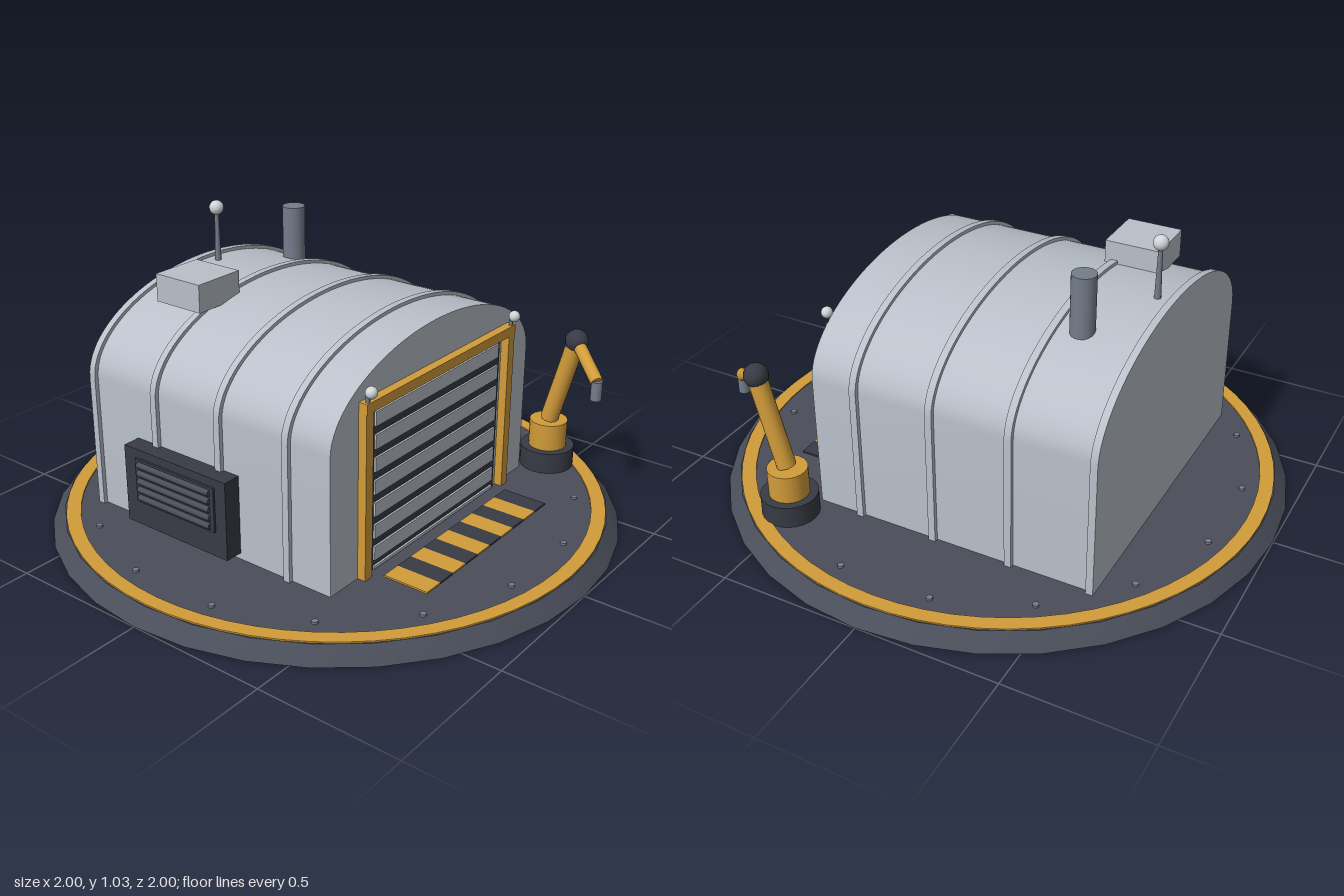
import * as THREE from 'three';
import { toCreasedNormals } from 'three/addons/utils/BufferGeometryUtils.js';

const material = (name, color) => {
  const m = new THREE.MeshStandardMaterial({ color });
  m.name = name;
  return m;
};

export function createModel() {
  const model = new THREE.Group();
  model.name = 'hangar';
  const panel = material('light panel grey', 0xb9c0c9);
  const deck = material('deck grey', 0x4a4e5a);
  const dark = material('dark machine grey', 0x383b45);
  const yellow = material('safety yellow', 0xd29c3a);
  const steel = material('steel grey', 0x757d8b);
  const lamp = material('lamp white', 0xd2d5da);

  const add = (name, geometry, mat, x = 0, y = 0, z = 0, parent = model) => {
    const mesh = new THREE.Mesh(geometry, mat);
    mesh.name = name;
    mesh.position.set(x, y, z);
    parent.add(mesh);
    return mesh;
  };
  // Box given by its lower and upper corners
  const box = (name, mat, [x0, y0, z0], [x1, y1, z1]) =>
    add(name, new THREE.BoxGeometry(x1 - x0, y1 - y0, z1 - z0), mat,
      (x0 + x1) / 2, (y0 + y1) / 2, (z0 + z1) / 2);
  // Upright cylinder between two heights
  const column = (name, mat, x, z, y0, y1, r0, r1 = r0, sides = 20) =>
    add(name, new THREE.CylinderGeometry(r1, r0, y1 - y0, sides), mat, x, (y0 + y1) / 2, z);
  const ball = (name, mat, x, y, z, r) =>
    add(name, new THREE.SphereGeometry(r, 16, 12), mat, x, y, z);
  // Cylinder between two points
  const limb = (name, mat, a, b, r) => {
    const from = new THREE.Vector3(...a), to = new THREE.Vector3(...b);
    const dir = to.clone().sub(from);
    const mesh = add(name, new THREE.CylinderGeometry(r, r, dir.length(), 16), mat);
    mesh.position.copy(from).add(to).multiplyScalar(0.5);
    mesh.quaternion.setFromUnitVectors(new THREE.Vector3(0, 1, 0), dir.normalize());
  };
  // Straight walls under a half-elliptical roof, extruded along z
  const vault = (name, halfWidth, top, z0, z1) => {
    const spring = 0.53;
    const shape = new THREE.Shape();
    shape.moveTo(-halfWidth, 0.05);
    shape.lineTo(halfWidth, 0.05);
    shape.lineTo(halfWidth, spring);
    shape.absellipse(0, spring, halfWidth, top - spring, 0, Math.PI, false);
    shape.lineTo(-halfWidth, 0.05);
    const geometry = new THREE.ExtrudeGeometry(shape,
      { depth: z1 - z0, bevelEnabled: false, curveSegments: 24 });
    add(name, toCreasedNormals(geometry, 0.6), panel, 0, 0, z0);
  };

  // Landing pad with painted ring and bolts
  const pad = new THREE.CylinderGeometry(0.955, 1, 0.052, 32);
  add('pad', toCreasedNormals(pad, 0.4), deck, 0, 0.026, 0);
  const ring = new THREE.Shape().absarc(0, 0, 0.95, 0, Math.PI * 2);
  ring.holes.push(new THREE.Path().absarc(0, 0, 0.9, 0, Math.PI * 2, true));
  add('padRing', new THREE.ExtrudeGeometry(ring, { depth: 0.007, bevelEnabled: false, curveSegments: 32 }),
    yellow, 0, 0.05, 0).rotation.x = -Math.PI / 2;
  for (let i = 0; i < 16; i++) {
    const a = (i + 0.5) * Math.PI / 8;
    column('padBolt', steel, 0.845 * Math.cos(a), 0.845 * Math.sin(a), 0.05, 0.06, 0.011, 0.011, 8);
  }

  // Alternating threshold stripes
  for (let i = 0; i < 10; i++) {
    const x = -0.365 + i * 0.073;
    box('thresholdStripe', i % 2 ? dark : yellow, [x, 0.05, 0.48], [x + 0.073, 0.058, 0.645]);
  }

  // Vaulted building and ribs
  vault('hangarShell', 0.565, 0.81, -0.595, 0.42);
  for (const z of [-0.592, -0.305, -0.025, 0.255]) {
    vault('shellRib', 0.58, 0.822, z - 0.0125, z + 0.0125);
  }

  // Slatted door and its frame
  box('doorBacking', dark, [-0.37, 0.052, 0.41], [0.37, 0.63, 0.426]);
  for (let i = 0; i < 7; i++) {
    const y = 0.087 + i * 0.079;
    box('doorSlat', panel, [-0.353, y, 0.42], [0.353, y + 0.05, 0.433]);
  }
  box('doorBottomSlat', panel, [-0.353, 0.055, 0.42], [0.353, 0.066, 0.433]);
  for (const s of [-1, 1]) {
    const x = s * 0.408;
    box('doorPost', yellow, [x - 0.018, 0.05, 0.415], [x + 0.018, 0.665, 0.45]);
    ball('doorLamp', lamp, s * 0.41, 0.7, 0.455, 0.02);
    column('doorLampStem', steel, s * 0.41, 0.442, 0.66, 0.695, 0.007, 0.007, 8);
  }
  box('doorLintel', yellow, [-0.426, 0.63, 0.415], [0.426, 0.665, 0.452]);

  // Louvred unit on the right wall
  box('ventHousing', dark, [-0.63, 0.075, -0.4], [-0.56, 0.355, 0.05]);
  box('ventPanel', dark, [-0.638, 0.165, -0.345], [-0.625, 0.325, 0.005]);
  for (let i = 0; i < 5; i++) {
    const y = 0.185 + i * 0.03;
    limb('ventLouvre', deck, [-0.639, y, -0.33], [-0.639, y, -0.01], 0.011);
  }

  // Roof equipment
  box('roofUnit', panel, [-0.38, 0.775, -0.465], [-0.185, 0.873, -0.27]);
  column('chimney', steel, 0.255, -0.395, 0.77, 0.978, 0.041);
  column('antennaMast', steel, 0, -0.537, 0.8, 1, 0.012, 0.007, 10);
  ball('antennaTip', lamp, 0, 1.003, -0.537, 0.026);

  // Jointed loading arm
  const elbow = [0.66, 0.56, 0.57], wrist = [0.56, 0.47, 0.71];
  column('armBase', dark, 0.66, 0.48, 0.05, 0.13, 0.098, 0.098, 24);
  column('armTurret', yellow, 0.66, 0.48, 0.13, 0.23, 0.069, 0.069, 24);
  limb('upperArm', yellow, [0.66, 0.235, 0.482], elbow, 0.033);
  ball('armElbow', dark, ...elbow, 0.042);
  limb('forearm', yellow, elbow, wrist, 0.023);
  column('armTool', steel, wrist[0], wrist[2], 0.405, 0.475, 0.02);

  return model;
}
